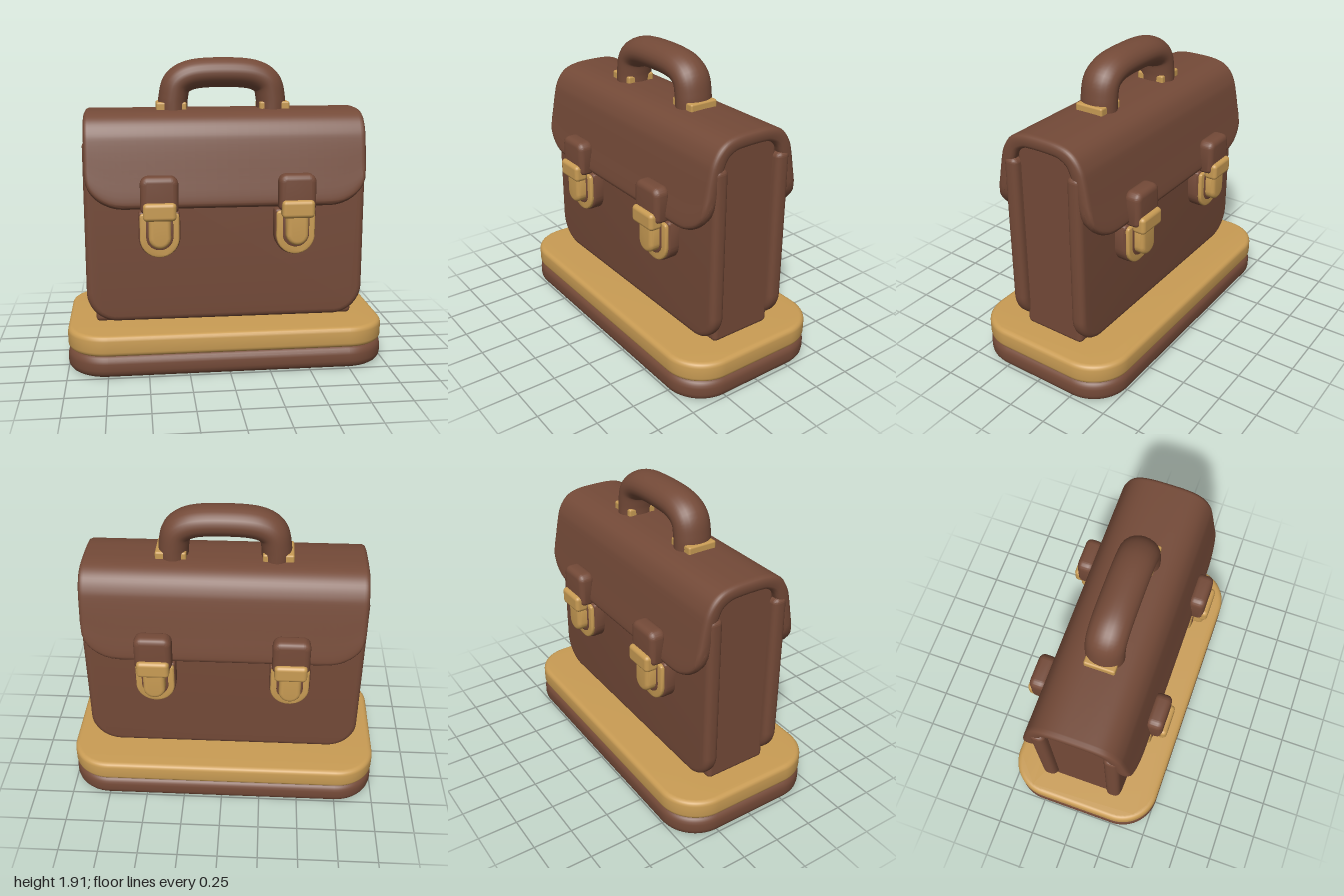
import * as THREE from 'three';
import { toCreasedNormals } from 'three/addons/utils/BufferGeometryUtils.js';
import { RoundedBoxGeometry } from 'three/addons/geometries/RoundedBoxGeometry.js';

const leather = new THREE.MeshStandardMaterial({ color: 0x744a38 });
leather.name = 'brown leather';
const brass = new THREE.MeshStandardMaterial({ color: 0xc99c54 });
brass.name = 'golden brass';

function add(parent, name, geometry, material, x = 0, y = 0, z = 0) {
  const mesh = new THREE.Mesh(geometry, material);
  mesh.name = name;
  mesh.position.set(x, y, z);
  parent.add(mesh);
  return mesh;
}

// Rectangle with separate radii for the bottom and top corners
function roundedRect(x0, y0, x1, y1, rb, rt = rb) {
  const s = new THREE.Shape();
  s.moveTo(x0 + rb, y0);
  s.lineTo(x1 - rb, y0);
  s.absarc(x1 - rb, y0 + rb, rb, -Math.PI / 2, 0);
  s.lineTo(x1, y1 - rt);
  s.absarc(x1 - rt, y1 - rt, rt, 0, Math.PI / 2);
  s.lineTo(x0 + rt, y1);
  s.absarc(x0 + rt, y1 - rt, rt, Math.PI / 2, Math.PI);
  s.lineTo(x0, y0 + rb);
  s.absarc(x0 + rb, y0 + rb, rb, Math.PI, Math.PI * 1.5);
  return s;
}

// Plate with softened edges, spanning z = 0 to thickness
function plate(shape, thickness, bevel) {
  const g = new THREE.ExtrudeGeometry(shape, {
    depth: thickness - 2 * bevel, bevelThickness: bevel, bevelSize: bevel,
    bevelOffset: -bevel, bevelSegments: 4, curveSegments: 12,
  });
  g.translate(0, 0, bevel);
  return toCreasedNormals(g, 0.6);
}

// Flap: an arched cross-section swept along x, with rounded lower corners
function flapGeometry() {
  const half = 0.868, corner = 0.24, low = 1.015, edge = 0.025;
  const ringAt = (x, inset) => {
    const d = Math.max(0, Math.abs(x) - (half - corner)) / corner;
    const bottom = low + 0.2 * (1 - Math.sqrt(Math.max(0, 1 - d * d)));
    const lean = (y, z) => new THREE.Vector2(z + (1.4 - y) * 0.19, y);
    const i = inset;
    const outer = new THREE.SplineCurve([
      new THREE.Vector2(0, 1.595 - i), new THREE.Vector2(0.1, 1.592 - i),
      new THREE.Vector2(0.18, 1.575 - i), new THREE.Vector2(0.24 - i * 0.7, 1.535 - i * 0.7),
      new THREE.Vector2(0.28 - i, 1.47), lean(1.4, 0.3 - i), lean((1.4 + bottom) / 2, 0.3 - i),
      lean(bottom + 0.05, 0.3 - i), lean(bottom + 0.015, 0.29 - i), lean(bottom, 0.265),
    ]).getPoints(36);
    const inner = new THREE.SplineCurve([
      new THREE.Vector2(0, 1.51 + i), new THREE.Vector2(0.08, 1.508 + i),
      new THREE.Vector2(0.13, 1.5 + i), new THREE.Vector2(0.175 + i * 0.7, 1.47 + i * 0.7),
      new THREE.Vector2(0.2 + i, 1.42), lean(1.38, 0.21 + i), lean((1.4 + bottom) / 2, 0.215 + i),
      lean(bottom + 0.05, 0.215 + i), lean(bottom + 0.015, 0.225 + i), lean(bottom, 0.25),
    ]).getPoints(36);
    const arch = (pts) => [
      ...pts.slice().reverse(),
      ...pts.slice(1).map((p) => new THREE.Vector2(-p.x, p.y)),
    ];
    return [...arch(outer), ...arch(inner).reverse()];
  };

  // Columns crowd toward the ends, where the lower corners curve
  const columns = [[-half, edge], [-half + 0.008, 0.008]];
  for (let k = 0; k <= 40; k++) {
    columns.push([-(half - edge) * Math.cos((Math.PI * k) / 40), 0]);
  }
  columns.push([half - 0.008, 0.008], [half, edge]);

  const pos = [], idx = [];
  let n = 0;
  columns.forEach(([x, inset]) => {
    const ring = ringAt(x, inset);
    n = ring.length;
    ring.forEach((p) => pos.push(x, p.y, p.x));
  });
  for (let i = 0; i < columns.length - 1; i++) {
    for (let j = 0; j < n; j++) {
      const k = (j + 1) % n;
      const a = i * n + j, b = i * n + k, c = a + n, d = b + n;
      idx.push(a, c, b, b, c, d);
    }
  }
  const last = (columns.length - 1) * n;
  for (let j = 0; j < n / 2 - 1; j++) {
    const o = j, p = j + 1, q = n - 1 - j, r = n - 2 - j;
    idx.push(o, p, q, p, r, q);
    idx.push(last + o, last + q, last + p, last + p, last + q, last + r);
  }
  const g = new THREE.BufferGeometry();
  g.setAttribute('position', new THREE.Float32BufferAttribute(pos, 3));
  g.setIndex(idx);
  return toCreasedNormals(g, 0.8);
}

// Strap end, brass clasp and U-shaped lock plate
function makeLatch(x) {
  const latch = new THREE.Group();
  latch.name = 'latch';
  latch.position.x = x;
  const u = (w, y0, y1) => roundedRect(-w / 2, y0, w / 2, y1, w / 2 - 0.001, 0.02);
  add(latch, 'lockBacking', plate(u(0.255, 0.71, 1.0), 0.1, 0.02), leather, 0, 0, 0.25);
  add(latch, 'lockPlate', plate(u(0.24, 0.717, 0.99), 0.03, 0.01), brass, 0, 0, 0.338);
  add(latch, 'lockRecess', plate(u(0.165, 0.765, 0.99), 0.014, 0.003), leather, 0, 0, 0.358);
  add(latch, 'lockTongue', plate(u(0.135, 0.785, 1.0), 0.1, 0.025), brass, 0, 0, 0.335);
  const strap = plate(roundedRect(-0.115, 1.0, 0.115, 1.225, 0.03, 0.05), 0.11, 0.035);
  add(latch, 'strapEnd', strap, leather, 0, 0, 0.322);
  add(latch, 'clasp', new RoundedBoxGeometry(0.2, 0.11, 0.09, 3, 0.025), brass, 0, 1.015, 0.415);
  return latch;
}

export function createModel() {
  const model = new THREE.Group();
  model.name = 'briefcaseOnBase';

  // Two-layer base
  const baseShape = roundedRect(-1, -0.51, 1, 0.51, 0.25);
  [['lowerBase', 0, 0.142, 0.05, leather], ['upperBase', 0.138, 0.13, 0.03, brass]].forEach(
    ([name, y, height, bevel, material]) => {
      add(model, name, plate(baseShape, height, bevel), material, 0, y).rotation.x = -Math.PI / 2;
    },
  );

  // Recessed side gussets and inner bag
  add(model, 'gussetBody', new RoundedBoxGeometry(1.65, 1.28, 0.42, 3, 0.03), leather, 0, 0.9, 0);

  // Front and back: a panel and two latches each
  const panelGeometry = plate(roundedRect(-0.877, 0.28, 0.877, 1.42, 0.19, 0.03), 0.095, 0.035);
  for (const [name, angle] of [['frontSide', 0], ['backSide', Math.PI]]) {
    const side = new THREE.Group();
    side.name = name;
    side.rotation.y = angle;
    add(side, 'panel', panelGeometry, leather, 0, 0, 0.178);
    side.add(makeLatch(-0.42), makeLatch(0.42));
    model.add(side);
  }

  add(model, 'flap', flapGeometry(), leather);

  // Carrying handle with brass mounts
  const path = new THREE.CatmullRomCurve3(
    [[-0.315, 1.56], [-0.31, 1.66], [-0.285, 1.75], [-0.21, 1.798], [0, 1.817],
      [0.21, 1.798], [0.285, 1.75], [0.31, 1.66], [0.315, 1.56]]
      .map(([x, y]) => new THREE.Vector3(x, y, 0)),
  );
  const handle = new THREE.TubeGeometry(path, 64, 0.093, 24);
  handle.scale(1, 1, 1.27);
  add(model, 'handle', handle, leather);
  for (const s of [-1, 1]) {
    add(model, 'handleMount', new RoundedBoxGeometry(0.19, 0.07, 0.19, 2, 0.012), brass, s * 0.325, 1.602, 0);
  }
  return model;
}
